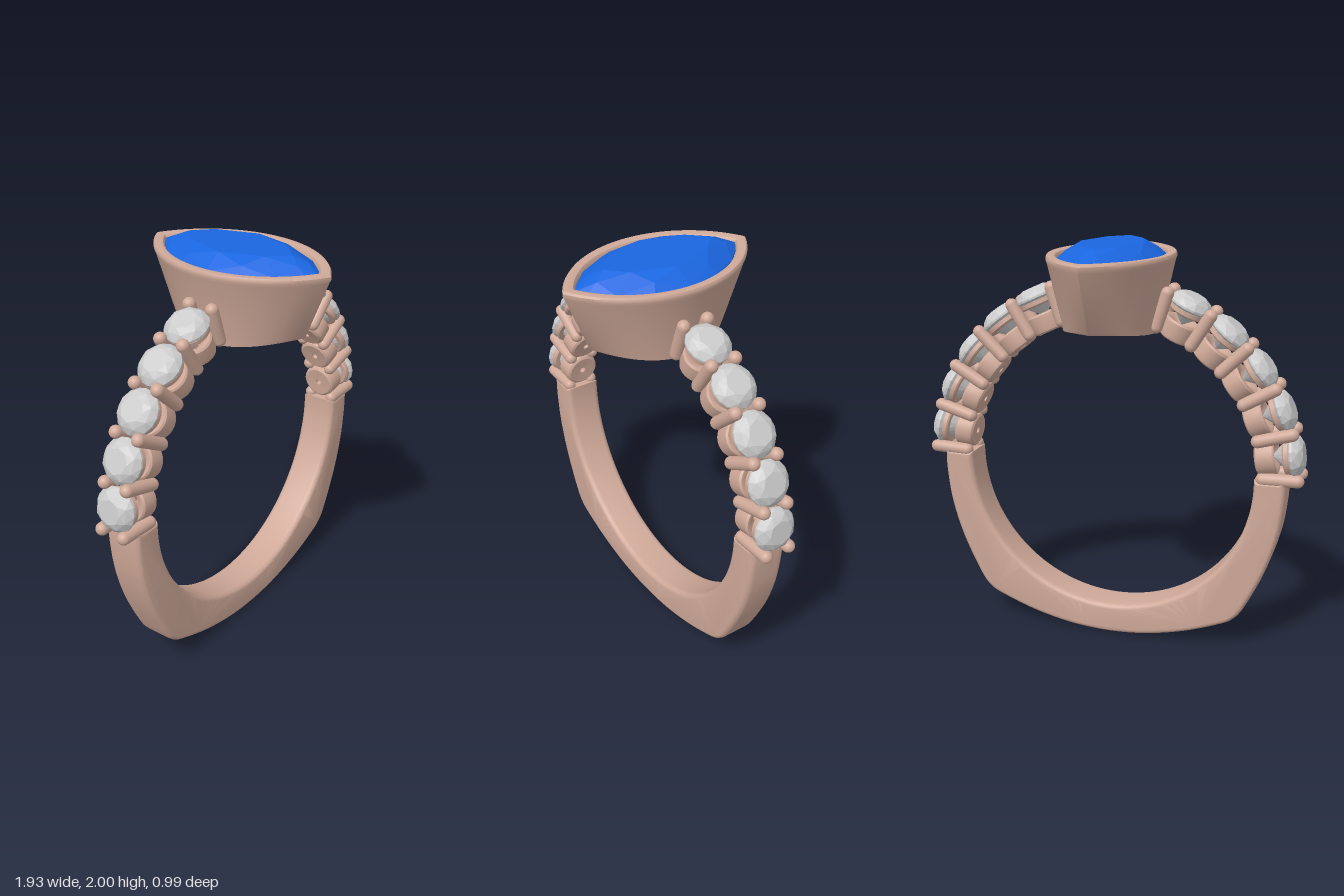
import * as THREE from 'three';
import { toCreasedNormals } from 'three/addons/utils/BufferGeometryUtils.js';
import { ConvexGeometry } from 'three/addons/geometries/ConvexGeometry.js';

const CY = 0.89;   // height of the finger hole centre
const HOLE = 0.73; // finger hole radius
const rad = THREE.MathUtils.degToRad;

const metal = new THREE.MeshStandardMaterial({ color: 0xcfa999 });
const blue = new THREE.MeshStandardMaterial({ color: 0x1a66e0, flatShading: true });
const clear = new THREE.MeshStandardMaterial({ color: 0xcccccc, flatShading: true });

function add(parent, name, geometry, material) {
  const mesh = new THREE.Mesh(geometry, material);
  mesh.name = name;
  parent.add(mesh);
  return mesh;
}

// Outline point: pointed marquise (two arcs) or plain ellipse, half width a, half length b
function outline(a, b, t, oval = false) {
  if (oval) return [a * Math.sin(t), b * Math.cos(t)];
  const R = (a * a + b * b) / (2 * a);
  const z = b * Math.cos(t);
  const x = Math.max(0, Math.sqrt(R * R - z * z) - (R - a));
  return [Math.sin(t) < 0 ? -x : x, z];
}

// Loft through rings [a, b, y, oval]; y = null lies on the finger cylinder
function loft(rings, n = 96) {
  const pos = [], idx = [];
  rings.forEach(([a, b, y, oval], i) => {
    for (let j = 0; j < n; j++) {
      const [x, z] = outline(a, b, (j / n) * Math.PI * 2, oval);
      pos.push(x, y ?? CY + Math.sqrt(HOLE * HOLE - x * x), z);
      if (i === rings.length - 1) continue;
      const k = (j + 1) % n, p = i * n, q = p + n;
      idx.push(p + j, p + k, q + k, p + j, q + k, q + j);
    }
  });
  const g = new THREE.BufferGeometry();
  g.setAttribute('position', new THREE.Float32BufferAttribute(pos, 3));
  g.setIndex(idx);
  return toCreasedNormals(g, 0.6);
}

// Faceted stone: hull of rings [a, b, y, count, phase] plus a culet
function stoneGeometry(rings, culet, oval) {
  const pts = [new THREE.Vector3(0, culet, 0)];
  for (const [a, b, y, n, phase] of rings) {
    for (let j = 0; j < n; j++) {
      const [x, z] = outline(a, b, ((j + phase) / n) * Math.PI * 2, oval);
      pts.push(new THREE.Vector3(x, y, z));
    }
  }
  return new ConvexGeometry(pts);
}

// Lower half of the band with squared shoulders
function shankGeometry() {
  const v = (x, y) => new THREE.Vector2(x, y);
  const s = new THREE.Shape();
  const side = [v(0.882, 0.91), v(0.88, 0.8), v(0.857, 0.63), v(0.8, 0.44), v(0.71, 0.245), v(0.655, 0.17), v(0.58, 0.127), v(0.4, 0.062), v(0.2, 0.018), v(0, 0.004)];
  const left = side.slice(0, -1).reverse().map((p) => v(-p.x, p.y));
  s.moveTo(side[0].x, side[0].y);
  s.splineThru([...side.slice(1), ...left]);
  const a = Math.asin((0.91 - CY) / HOLE);
  s.absarc(0, CY, HOLE, Math.PI - a, Math.PI * 2 + a, false);
  s.closePath();
  const g = new THREE.ExtrudeGeometry(s, {
    depth: 0.13, bevelEnabled: true, bevelThickness: 0.03, bevelSize: 0.025,
    bevelOffset: -0.025, bevelSegments: 5, curveSegments: 80,
  });
  g.translate(0, 0, -0.065);
  return toCreasedNormals(g, 0.6);
}

// Closed turned profile with crisp edges
function turned(points) {
  return toCreasedNormals(new THREE.LatheGeometry(points.map(([x, y]) => new THREE.Vector2(x, y)), 32), 0.6);
}

export function createModel() {
  const model = new THREE.Group();
  add(model, 'shank', shankGeometry(), metal);

  // Marquise bezel: recess underneath, flared wall, rounded rim, seat inside
  add(model, 'bezel', loft([
    [0.001, 0.001, 1.7, true], [0.08, 0.17, 1.69, true], [0.12, 0.23, 1.65, true], [0.13, 0.245, null, true],
    [0.18, 0.31, null], [0.227, 0.362, null], [0.232, 0.373, 1.63],
    [0.293, 0.487, 1.915], [0.299, 0.495, 1.93], [0.299, 0.495, 1.944], [0.294, 0.487, 1.953],
    [0.272, 0.461, 1.955], [0.256, 0.442, 1.95], [0.248, 0.433, 1.938],
    [0.245, 0.43, 1.91], [0.1, 0.19, 1.78], [0.001, 0.001, 1.78],
  ]), metal);

  add(model, 'centreStone', stoneGeometry([
    [0.155, 0.29, 2.0, 8, 0], [0.205, 0.375, 1.972, 8, 0.5],
    [0.247, 0.433, 1.936, 16, 0], [0.247, 0.433, 1.922, 16, 0],
  ], 1.79, false), blue);

  // Shared parts of the side settings, local y pointing away from the finger
  const cup = turned([[0.016, 0.74], [0.075, 0.737], [0.086, 0.745], [0.09, 0.76], [0.09, 0.825], [0.083, 0.834], [0.06, 0.83], [0.016, 0.79], [0.016, 0.74]]);
  const seat = turned([[0.066, 0.873], [0.09, 0.873], [0.097, 0.88], [0.097, 0.9], [0.09, 0.907], [0.08, 0.907], [0.066, 0.873]]);
  const stone = stoneGeometry([
    [0.06, 0.06, 0.966, 8, 0], [0.089, 0.089, 0.95, 8, 0.5],
    [0.108, 0.108, 0.922, 16, 0], [0.108, 0.108, 0.912, 16, 0],
  ], 0.81, true);
  const prong = new THREE.CapsuleGeometry(0.031, 0.17, 8, 20);

  for (const side of ['left', 'right']) {
    const row = new THREE.Group();
    row.name = side + 'StoneRow';
    row.position.y = CY;
    model.add(row);
    const spoke = (deg, name) => {
      const g = new THREE.Group();
      g.name = name;
      g.rotation.z = (side === 'left' ? 1 : -1) * rad(deg - 90);
      row.add(g);
      return g;
    };
    for (let i = 0; i < 5; i++) {
      const g = spoke(9 + i * 14, 'stoneSetting');
      add(g, 'cup', cup, metal);
      add(g, 'seatRing', seat, metal);
      add(g, 'sideStone', stone, clear);
    }
    for (let i = 0; i < 6; i++) {
      const g = spoke(2 + i * 14, 'prongPair');
      for (const z of [-0.064, 0.064]) add(g, 'prong', prong, metal).position.set(0, 0.852, z);
    }
  }
  return model;
}
